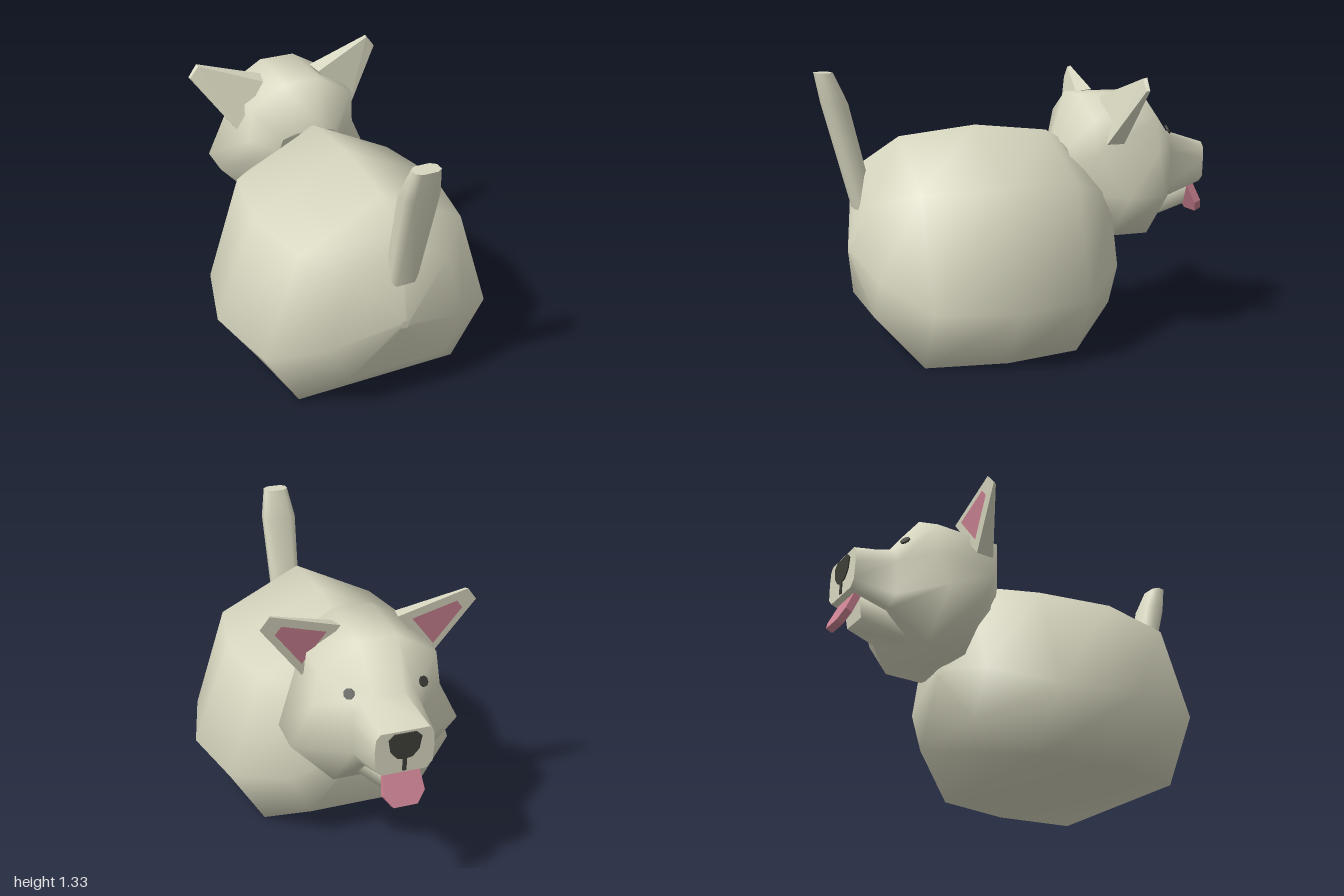
import * as THREE from 'three';
import { ConvexGeometry } from 'three/addons/geometries/ConvexGeometry.js';

const mat = (name, color, extra = {}) => {
  const m = new THREE.MeshStandardMaterial({ color, ...extra });
  m.name = name;
  return m;
};

// Skin a list of half cross-sections, mirrored in x, with flat caps at both ends.
function loft(halves) {
  const rings = halves.map((h) => [
    ...h,
    ...h.filter((p) => p[0] !== 0).reverse().map(([x, y, z]) => [-x, y, z]),
  ]);
  const n = rings[0].length;
  const pos = rings.flat(2);
  const idx = [];
  for (let i = 0; i < rings.length - 1; i++) {
    for (let j = 0; j < n; j++) {
      const k = (j + 1) % n;
      const a = i * n + j, b = i * n + k, c = b + n, d = a + n;
      idx.push(a, b, d, b, c, d);
    }
  }
  [rings[0], rings[rings.length - 1]].forEach((ring, end) => {
    const base = pos.length / 3;
    ring.forEach((p) => pos.push(...p));
    for (let j = 1; j < n - 1; j++) {
      if (end) idx.push(base, base + j, base + j + 1);
      else idx.push(base, base + j + 1, base + j);
    }
  });
  const g = new THREE.BufferGeometry();
  g.setAttribute('position', new THREE.Float32BufferAttribute(pos, 3));
  g.setIndex(idx);
  g.computeVertexNormals();
  return g;
}

export function createModel() {
  const group = new THREE.Group();
  const fur = mat('cream fur', 0xd8d7c0);
  const pink = mat('pink skin', 0xcb8292, { side: THREE.DoubleSide });
  const dark = mat('dark features', 0x3e3e39);
  const add = (name, geometry, material) => {
    const mesh = new THREE.Mesh(geometry, material);
    mesh.name = name;
    group.add(mesh);
    return mesh;
  };

  // Round body: z, half width, top, shoulder, widest height, bottom
  const body = [
    [0.865, 0.02, 0.51, 0.5, 0.49, 0.47],
    [0.8, 0.34, 0.9, 0.74, 0.4, 0.21],
    [0.61, 0.58, 1.02, 0.81, 0.29, 0],
    [0.23, 0.67, 1.06, 0.82, 0.29, 0],
    [-0.14, 0.58, 1.02, 0.81, 0.29, 0],
    [-0.385, 0.34, 0.88, 0.72, 0.38, 0.17],
    [-0.43, 0.02, 0.51, 0.5, 0.49, 0.47],
  ];
  add('body', loft(body.map(([z, w, top, sh, mid, bot]) => [
    [0, top, z], [w * 0.71, sh, z], [w, mid, z], [w * 0.71, bot, z],
  ])), fur);

  // Head and muzzle, from the nape to the muzzle tip
  add('head', loft([
    [[0.07, 0.96, -0.2], [0.14, 0.94, -0.2], [0.16, 0.86, -0.22], [0.2, 0.72, -0.26], [0.12, 0.55, -0.3]],
    [[0.09, 1.2, -0.28], [0.275, 1.09, -0.29], [0.285, 0.92, -0.3], [0.4, 0.72, -0.42], [0.2, 0.5, -0.42]],
    [[0.09, 1.2, -0.62], [0.275, 1.09, -0.62], [0.3, 0.92, -0.62], [0.4, 0.72, -0.61], [0.2, 0.5, -0.61]],
    [[0.07, 1.0, -0.76], [0.13, 0.98, -0.76], [0.165, 0.9, -0.76], [0.16, 0.73, -0.76], [0.12, 0.67, -0.77]],
    [[0.11, 0.935, -0.96], [0.13, 0.91, -0.96], [0.135, 0.85, -0.96], [0.13, 0.76, -0.96], [0.1, 0.73, -0.96]],
  ]), fur);

  add('lowerJaw', loft([
    [[0.11, 0.67, -0.6], [0.11, 0.54, -0.6]],
    [[0.08, 0.71, -0.9], [0.07, 0.61, -0.885]],
  ]), fur);

  // Tail: height, half width, rear z, front z
  const tail = [
    [0.69, 0.07, 0.84, 0.74],
    [1.19, 0.085, 0.97, 0.86],
    [1.33, 0.06, 1.0, 0.922],
  ];
  add('tail', loft(tail.map(([y, w, z1, z0]) => {
    const d = (z1 - z0) * 0.25;
    return [[w * 0.6, y, z1], [w, y, z1 - d], [w, y, z0 + d], [w * 0.6, y, z0]];
  })), fur).position.x = 0.01;

  // Ears with a pink inset on the forward face
  const earFront = [[0.135, 1.2, -0.455], [0.46, 1.3, -0.475], [0.505, 1.24, -0.47], [0.31, 0.97, -0.435]];
  const earBack = [[0.15, 1.19, -0.375], [0.455, 1.295, -0.455], [0.5, 1.24, -0.455], [0.31, 0.97, -0.345]];
  for (const s of [1, -1]) {
    const side = s > 0 ? 'left' : 'right';
    const vec = ([x, y, z]) => new THREE.Vector3(s * x - 0.02, y, z);
    add(side + 'Ear', new ConvexGeometry([...earFront, ...earBack].map(vec)), fur);

    const front = earFront.map(vec);
    const centre = vec([0.32, 1.15, -0.457]);
    const inset = front.map((p) => p.lerp(centre, 0.36).add(new THREE.Vector3(0, 0, -0.006)));
    const g = new THREE.BufferGeometry().setFromPoints(inset);
    g.setIndex(s > 0 ? [0, 1, 2, 0, 2, 3] : [0, 2, 1, 0, 3, 2]);
    g.computeVertexNormals();
    add(side + 'InnerEar', g, pink);

    // Eye disc lying on the brow slope
    const normal = new THREE.Vector3(s * 0.42, 0.5, -0.75).normalize();
    const eye = add(side + 'Eye', new THREE.CylinderGeometry(0.025, 0.025, 0.009, 8), dark);
    eye.quaternion.setFromUnitVectors(new THREE.Vector3(0, 1, 0), normal);
    eye.position.set(s * 0.17, 1.015, -0.73).addScaledVector(normal, 0.003);
  }

  // Nose shield with its stem, on the muzzle tip
  const nose = new THREE.Shape([
    [-0.05, 0.925], [-0.075, 0.9], [-0.065, 0.84], [-0.035, 0.805], [-0.009, 0.8], [-0.009, 0.74],
    [0.009, 0.74], [0.009, 0.8], [0.035, 0.805], [0.065, 0.84], [0.075, 0.9], [0.05, 0.925],
  ].map((p) => new THREE.Vector2(...p)));
  add('nose', new THREE.ExtrudeGeometry(nose, { depth: 0.008, bevelEnabled: false }), dark).position.z = -0.966;

  // Tongue hanging from the mouth
  const tongueShape = new THREE.Shape([
    [-0.08, 0], [-0.095, -0.12], [-0.055, -0.175], [0.055, -0.175], [0.095, -0.12], [0.08, 0],
  ].map((p) => new THREE.Vector2(...p)));
  const tongue = add('tongue', new THREE.ExtrudeGeometry(tongueShape, { depth: 0.035, bevelEnabled: false }), pink);
  tongue.position.set(0, 0.735, -0.925);
  tongue.rotation.x = 0.42;

  return group;
}
